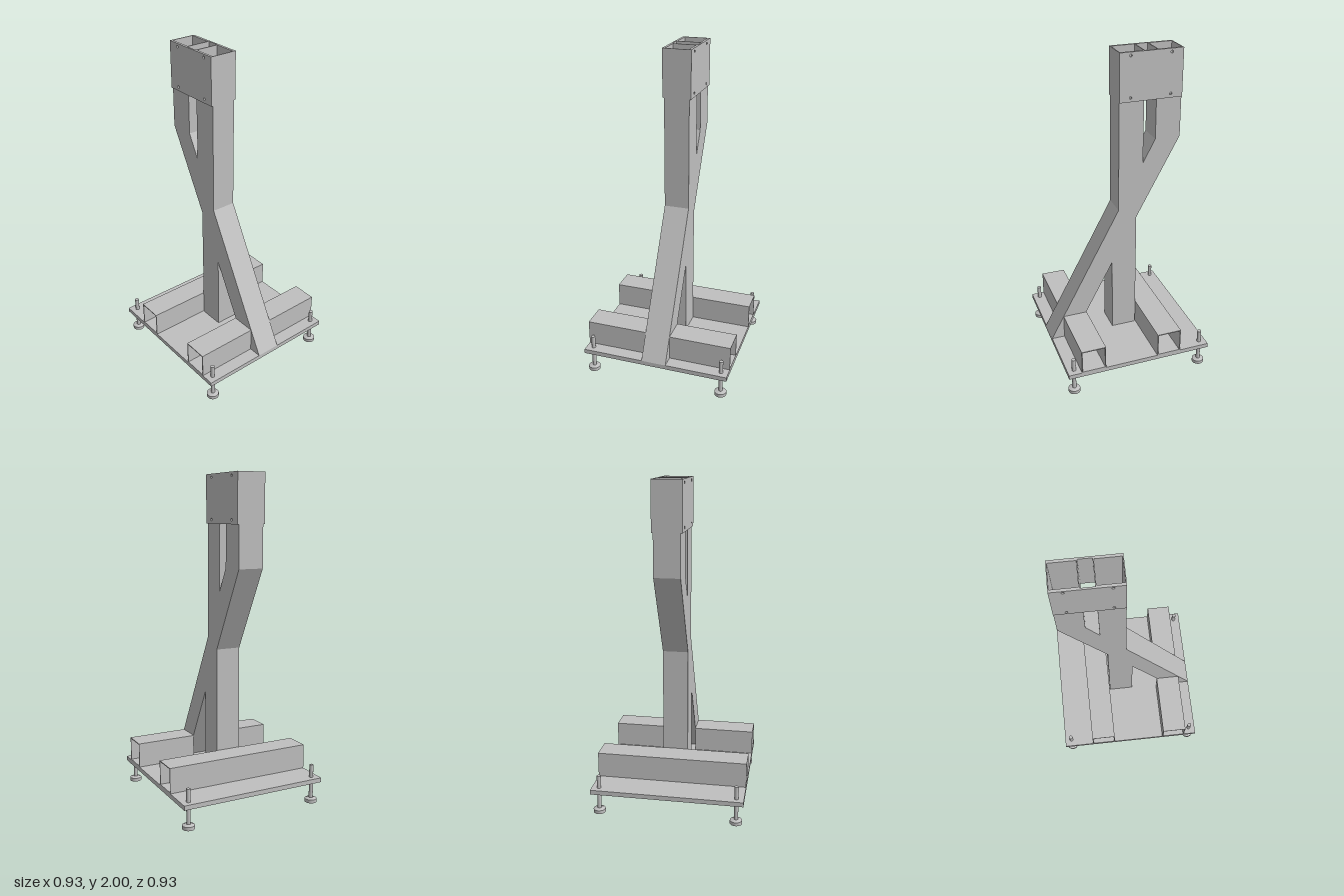
import * as THREE from 'three';

const steel = new THREE.MeshStandardMaterial({ color: 0xbfbfbf });
steel.name = 'grey steel';

const HALF = 0.078;   // half width of the post
const WALL = 0.006;   // sheet thickness of all hollow sections

function add(parent, name, geometry, x = 0, y = 0, z = 0) {
  const mesh = new THREE.Mesh(geometry, steel);
  mesh.name = name;
  mesh.position.set(x, y, z);
  parent.add(mesh);
  return mesh;
}

// Extrudes a (z, y) outline along x, centred on x = 0
function extrudeAcross(shape, width) {
  const g = new THREE.ExtrudeGeometry(shape, { depth: width, bevelEnabled: false, curveSegments: 12 });
  g.translate(0, 0, -width / 2);
  g.rotateY(-Math.PI / 2); // shape x becomes z
  return g;
}

const toShape = (pts) => new THREE.Shape(pts.map(([z, y]) => new THREE.Vector2(z, y)));
const toPath = (pts) => new THREE.Path(pts.map(([z, y]) => new THREE.Vector2(z, y)));

// Thin wall from a to b in the z-y plane, its thickness lying left of the direction
function wall(parent, name, a, b) {
  const dz = b[0] - a[0], dy = b[1] - a[1], len = Math.hypot(dz, dy);
  const oz = -dy / len * WALL, oy = dz / len * WALL;
  const quad = [a, b, [b[0] + oz, b[1] + oy], [a[0] + oz, a[1] + oy]];
  add(parent, name, extrudeAcross(toShape(quad), 2 * (HALF - WALL)));
}

function walls(parent, name, pts) {
  for (let i = 0; i < pts.length - 1; i++) wall(parent, name, pts[i], pts[i + 1]);
}

// Square open tube running along x
function crossTube(parent, name, x, z, length) {
  const h = 0.0775, i = h - WALL;
  const shape = toShape([[-h, -h], [h, -h], [h, h], [-h, h]]);
  shape.holes.push(toPath([[-i, -i], [-i, i], [i, i], [i, -i]]));
  add(parent, name, extrudeAcross(shape, length), x, 0.16 + h, z);
}

export function createModel() {
  const model = new THREE.Group();
  model.name = 'stand';

  // Base plate
  add(model, 'basePlate', new THREE.BoxGeometry(0.93, 0.028, 0.93), 0, 0.146, 0);

  // Cross tubes: one whole at the back, one split by the strut at the front
  crossTube(model, 'backCrossTube', 0, -0.1915, 0.93);
  for (const s of [-1, 1]) {
    crossTube(model, 'frontCrossTube', s * (HALF + 0.465) / 2, 0.305, 0.465 - HALF);
  }

  // Levelling feet
  for (const sx of [-1, 1]) for (const sz of [-1, 1]) {
    const foot = new THREE.Group();
    foot.name = 'levellingFoot';
    foot.position.set(sx * 0.42, 0, sz * 0.422);
    add(foot, 'footPad', new THREE.CylinderGeometry(0.037, 0.037, 0.022, 32), 0, 0.011, 0);
    add(foot, 'footCollar', new THREE.CylinderGeometry(0.018, 0.034, 0.006, 32), 0, 0.025, 0);
    add(foot, 'footRod', new THREE.CylinderGeometry(0.0125, 0.0125, 0.22, 24), 0, 0.13, 0);
    model.add(foot);
  }

  // Hollow post: straight column crossed by a slanted strut
  const post = new THREE.Group();
  post.name = 'post';
  model.add(post);
  const front = [[0.465, 0.16], [0.007, 1.02], [0.007, 2]];
  const back = [[-0.383, 2], [-0.383, 1.46], [-0.11, 0.955], [-0.11, 0.16]];
  const slot = [[-0.148, 2], [-0.148, 1.315], [-0.225, 1.46], [-0.225, 2]];
  const triangle = [[0.05, 0.16], [0.05, 0.655], [0.313, 0.16]];

  // Side sheets of the post
  const side = toShape([...front, ...slot, ...back, ...triangle]);
  for (const s of [-1, 1]) {
    add(post, 'postSide', extrudeAcross(side, WALL), s * (HALF - WALL / 2), 0, 0);
  }

  // Front, back and inner sheets
  walls(post, 'frontWall', front);
  walls(post, 'backWall', back);
  walls(post, 'slotWall', slot);
  walls(post, 'triangleWall', triangle);
  wall(post, 'innerStrutWall', [0.007, 1.02], [-0.148, 1.315]);

  // Side plates of the head, with bolt holes
  const plate = toShape([[0.007, 1.71], [0.007, 2], [-0.383, 2], [-0.383, 1.71]]);
  for (const z of [-0.06, -0.31]) for (const y of [1.735, 1.98]) {
    const hole = new THREE.Path();
    hole.absarc(z, y, 0.008, 0, Math.PI * 2);
    plate.holes.push(hole);
  }
  for (const s of [-1, 1]) {
    add(model, 'headPlate', extrudeAcross(plate, 0.01), s * (HALF + 0.005), 0, 0);
  }

  return model;
}
